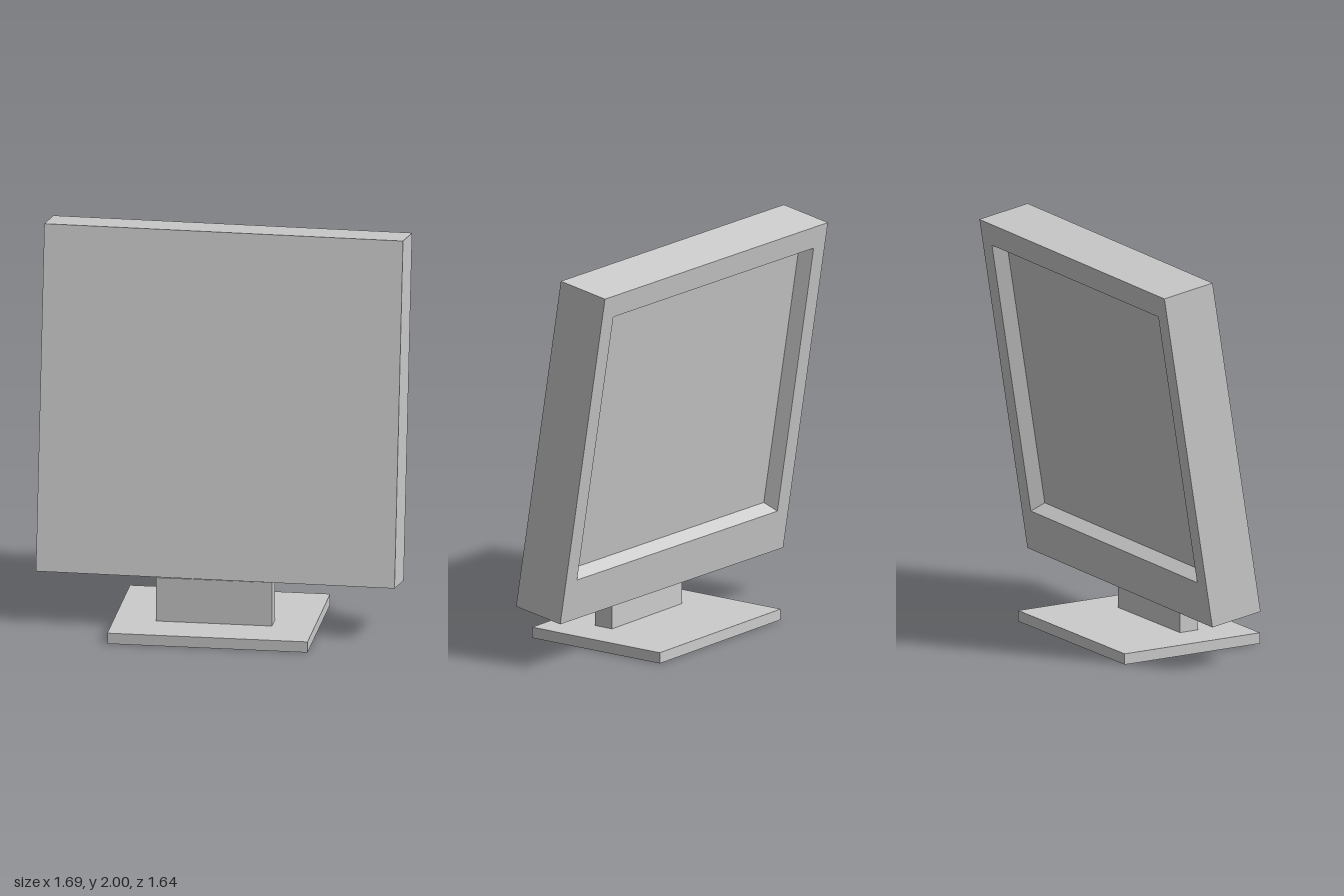
import * as THREE from 'three';

const grey = new THREE.MeshStandardMaterial({ color: 0xcccccc, flatShading: true });
const deg = THREE.MathUtils.degToRad;

function add(parent, name, geometry, x, y, z) {
  const mesh = new THREE.Mesh(geometry, grey);
  mesh.name = name;
  mesh.position.set(x, y, z);
  parent.add(mesh);
  return mesh;
}

// Skin a row of rectangles [width, height, centreY, z], closing the first one
function rectLoft(rects) {
  const rings = rects.map(([w, h, cy, z]) =>
    [[-1, -1], [1, -1], [1, 1], [-1, 1]].map(([sx, sy]) => [sx * w / 2, cy + sy * h / 2, z]));
  const pos = [];
  const quad = (a, b, c, d) => pos.push(...a, ...b, ...c, ...a, ...c, ...d);
  const first = rings[0];
  quad(first[3], first[2], first[1], first[0]);
  for (let k = 0; k < rings.length - 1; k++) {
    for (let i = 0; i < 4; i++) {
      const j = (i + 1) % 4;
      quad(rings[k][i], rings[k][j], rings[k + 1][j], rings[k + 1][i]);
    }
  }
  const geometry = new THREE.BufferGeometry();
  geometry.setAttribute('position', new THREE.Float32BufferAttribute(pos, 3));
  geometry.computeVertexNormals();
  return geometry;
}

export function createModel() {
  const model = new THREE.Group();
  model.name = 'monitor';

  // Stand: flat foot with a short neck set towards its rear edge
  const stand = new THREE.Group();
  stand.name = 'stand';
  stand.position.set(-0.078, 0, 0.07);
  stand.rotation.y = deg(138);
  model.add(stand);
  add(stand, 'foot', new THREE.BoxGeometry(1.0, 0.055, 0.787), 0, 0.0275, 0);
  add(stand, 'neck', new THREE.BoxGeometry(0.58, 0.23, 0.106), 0, 0.165, -0.111);

  // Display: tilted casing with a bevelled recess around the screen
  const display = new THREE.Group();
  display.name = 'display';
  display.position.set(0, 1.12, 0);
  display.rotation.set(deg(9.2), deg(136.8), -0.002, 'YXZ');
  model.add(display);

  const W = 1.797, H = 1.738, D = 0.28;
  const openW = 1.615, openH = 1.406, openY = 0.05, bevel = 0.03, recess = 0.068;
  const screenW = openW - 2 * bevel, screenH = openH - 2 * bevel, screenZ = D / 2 - recess;
  add(display, 'casing', rectLoft([
    [W, H, 0, -D / 2],
    [W, H, 0, D / 2],
    [openW, openH, openY, D / 2],
    [screenW, screenH, openY, screenZ],
  ]), 0, 0, 0);
  add(display, 'screen', new THREE.PlaneGeometry(screenW, screenH), 0, openY, screenZ);

  return model;
}
